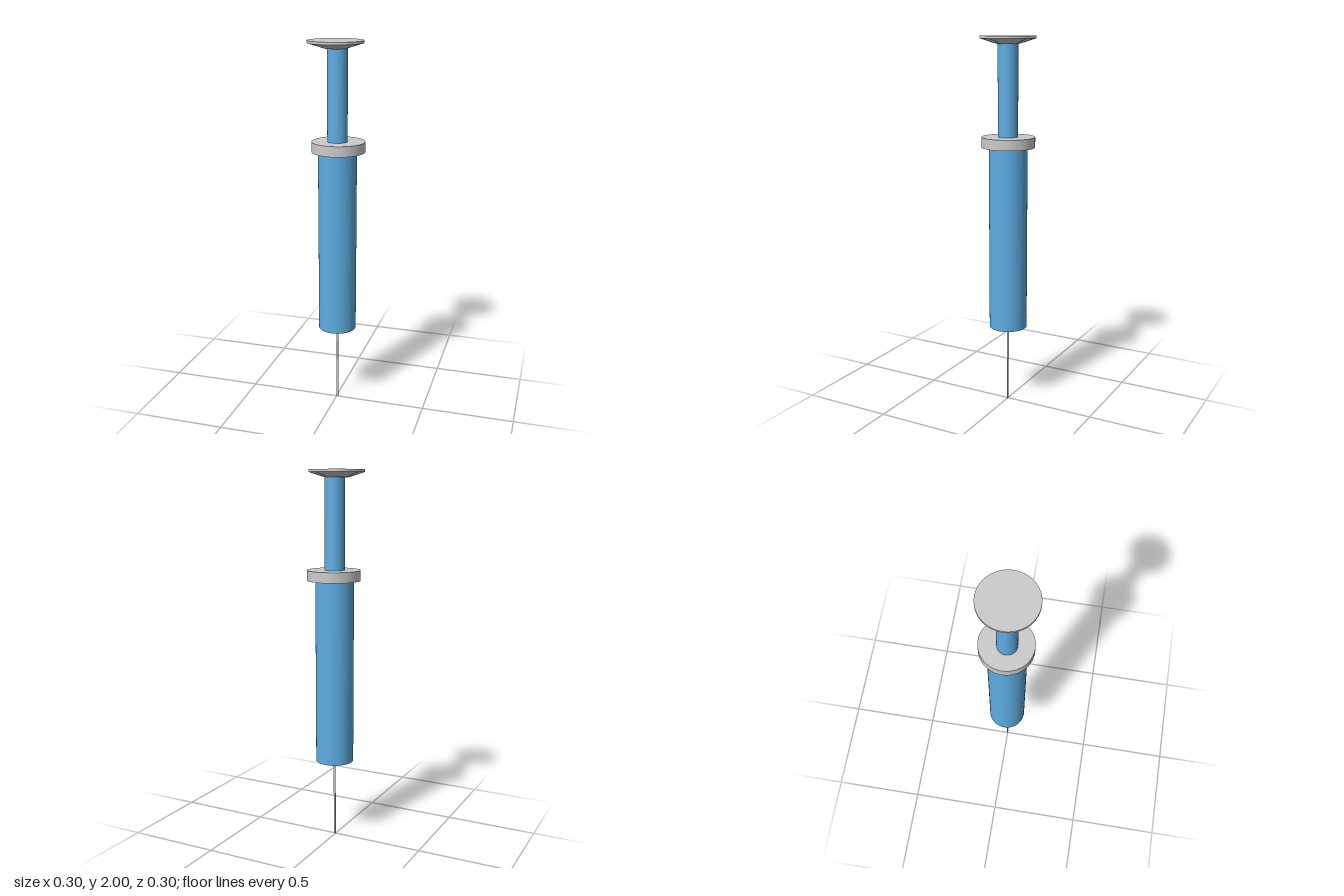
import * as THREE from 'three';

const grey = new THREE.MeshStandardMaterial({ color: 0xcccccc });
const blue = new THREE.MeshStandardMaterial({ color: 0x5dade2 });

export function createModel() {
  const model = new THREE.Group();

  // Upright round part from yBottom to yTop, centred on (x, z)
  function round(name, material, rTop, rBottom, yBottom, yTop, x, z, segments = 64) {
    const geometry = new THREE.CylinderGeometry(rTop, rBottom, yTop - yBottom, segments);
    const mesh = new THREE.Mesh(geometry, material);
    mesh.name = name;
    mesh.position.set(x, (yBottom + yTop) / 2, z);
    model.add(mesh);
    return mesh;
  }

  // Plunger: thumb plate with a tapered underside, and its rod
  round('thumbPlate', grey, 0.145, 0.145, 1.987, 2, -0.005, 0.002);
  round('thumbPlateTaper', grey, 0.145, 0.06, 1.96, 1.987, -0.005, 0.002);
  round('plungerRod', blue, 0.053, 0.053, 1.45, 1.965, 0.004, -0.003);

  // Barrel with finger flange
  round('fingerFlange', grey, 0.141, 0.141, 1.43, 1.485, 0.008, -0.007);
  round('barrel', blue, 0.102, 0.102, 0.437, 1.44, 0.004, -0.004);

  // Needle hub: blue collar and grey cap
  round('hubCollar', blue, 0.062, 0.06, 0.427, 0.44, 0.004, -0.004);
  round('hubTaper', blue, 0.06, 0.047, 0.418, 0.427, 0.004, -0.004);
  round('hubCap', grey, 0.047, 0.036, 0.412, 0.418, 0.004, -0.004);

  // Needle: round shaft, flattened towards the point
  round('needleShaft', grey, 0.006, 0.006, 0.24, 0.415, 0.005, -0.004, 16);
  const point = round('needlePoint', grey, 0.006, 0.006, 0, 0.24, 0.005, -0.002, 16);
  point.scale.z = 0.55;

  return model;
}
